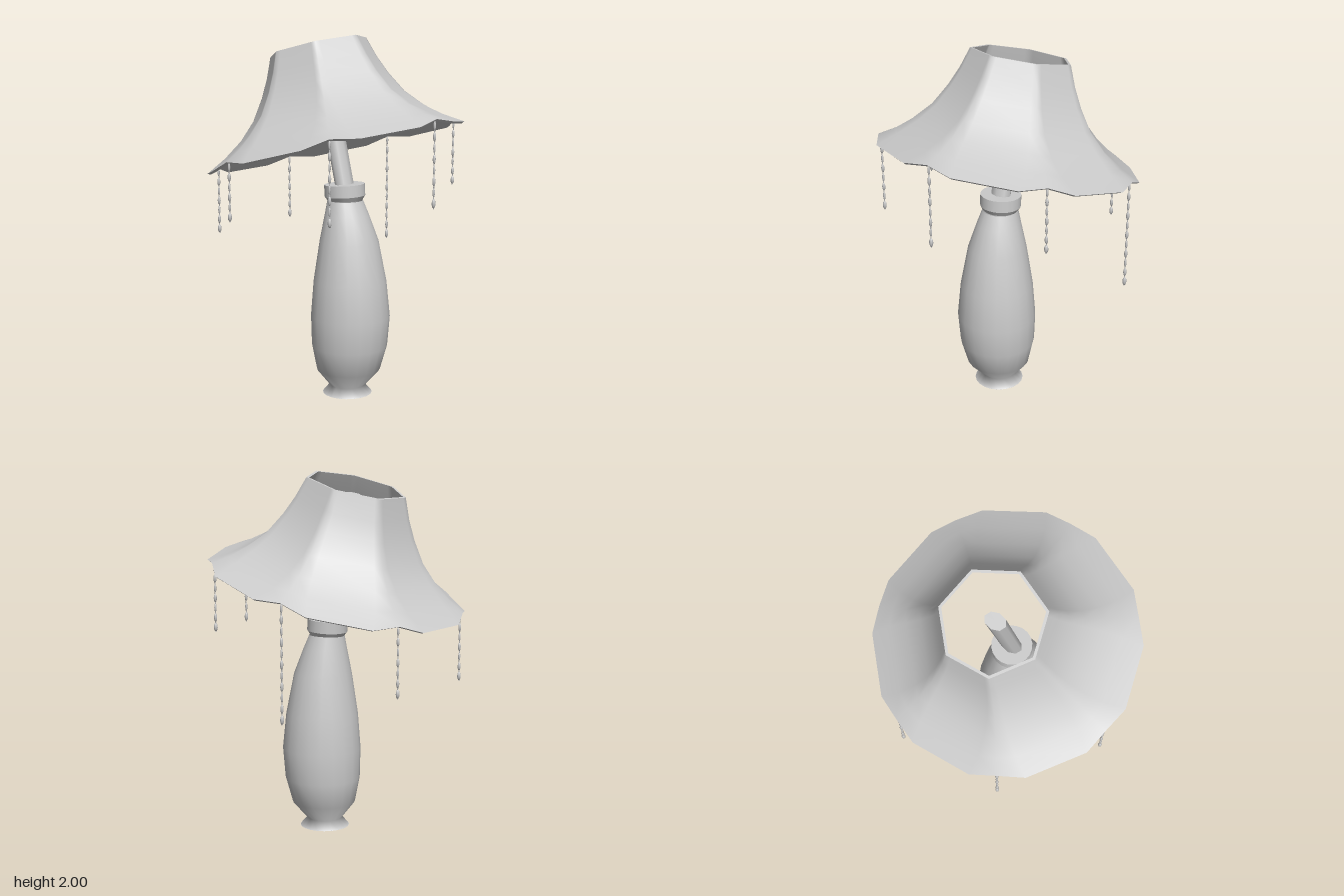
import * as THREE from 'three';

const mat = new THREE.MeshStandardMaterial({ color: 0xcccccc, side: THREE.DoubleSide });
const TILT = THREE.MathUtils.degToRad(15);
const RIBS = 7;

function addMesh(parent, name, geometry) {
  const mesh = new THREE.Mesh(geometry, mat);
  mesh.name = name;
  parent.add(mesh);
  return mesh;
}

// Shade rows from top to rim: rib radius, panel apothem, height, panel edge angle, rib lift
const ROWS = [
  [0.277, 0.25, 0, 5, 0],
  [0.318, 0.288, -0.11, 5, 0],
  [0.367, 0.331, -0.21, 5, 0],
  [0.44, 0.397, -0.325, 5.5, 0],
  [0.535, 0.487, -0.42, 7, 0],
  [0.62, 0.59, -0.497, 9, 0.012],
  [0.705, 0.70, -0.56, 12, 0.027],
];

// Maps a point of the upright shade to the tilted, slightly sheared one
function tilted(r, angle, v) {
  const u = r * Math.cos(angle) + 0.036 * v;
  return new THREE.Vector3(
    -0.13 + u * Math.cos(TILT) - v * Math.sin(TILT),
    1.928 + u * Math.sin(TILT) + v * Math.cos(TILT),
    r * Math.sin(angle));
}

// One ring of the shade: rib, panel edge, panel edge for each of the seven sides
function shadeRing([ribR, apothem, v, edgeDeg, lift], inset) {
  const ring = [];
  const step = (Math.PI * 2) / RIBS;
  const edge = THREE.MathUtils.degToRad(edgeDeg);
  const panelR = apothem / Math.cos(step / 2 - edge) - inset;
  const drop = inset * -v;
  for (let k = 0; k < RIBS; k++) {
    ring.push(tilted(ribR - inset, k * step, v + lift - drop));
    ring.push(tilted(panelR, k * step + edge, v - drop));
    ring.push(tilted(panelR, (k + 1) * step - edge, v - drop));
  }
  return ring;
}

// Smooth closed surface through a list of rings
function skin(rings) {
  const n = rings[0].length;
  const index = [];
  for (let i = 0; i < rings.length - 1; i++) {
    for (let j = 0; j < n; j++) {
      const a = i * n + j, b = i * n + (j + 1) % n;
      index.push(a, b, a + n, b, b + n, a + n);
    }
  }
  const g = new THREE.BufferGeometry().setFromPoints(rings.flat());
  g.setIndex(index);
  g.computeVertexNormals();
  return g;
}

function buildShade() {
  const shade = new THREE.Group();
  shade.name = 'shade';
  const outer = ROWS.map((row) => shadeRing(row, 0));
  const inner = ROWS.map((row) => shadeRing(row, 0.015));
  const last = ROWS.length - 1;
  addMesh(shade, 'shadeOutside', skin(outer));
  addMesh(shade, 'shadeInside', skin([...inner].reverse()));
  addMesh(shade, 'shadeBottomEdge', skin([outer[last], inner[last]]));
  addMesh(shade, 'shadeTopEdge', skin([inner[0], outer[0]]));
  return shade;
}

// Bead string hanging from a rim point down to a given height
function buildBeadString(top, bottomY) {
  const string = new THREE.Group();
  string.name = 'beadString';
  const length = top.y - bottomY;
  const thread = addMesh(string, 'thread', new THREE.CylinderGeometry(0.003, 0.003, length, 5));
  thread.position.set(top.x, top.y - length / 2, top.z);
  const count = Math.round(length / 0.055);
  const pitch = length / count;
  const bead = new THREE.SphereGeometry(1, 6, 6);
  for (let i = 0; i < count; i++) {
    const m = addMesh(string, 'bead', bead);
    const r = i === count - 1 ? 0.011 : i % 2 ? 0.009 : 0.007;
    m.scale.set(r, pitch * 0.44, r);
    m.position.set(top.x, top.y - (i + 0.5) * pitch, top.z);
  }
  return string;
}

// Vase body: radius, height and sideways shift of its slightly bent axis
const BODY = [
  [0.138, 0, 0.083], [0.098, 0.045, 0.083], [0.178, 0.14, 0.09], [0.211, 0.28, 0.098],
  [0.22, 0.45, 0.104], [0.202, 0.65, 0.101], [0.162, 0.88, 0.094], [0.122, 1.02, 0.078],
  [0.098, 1.1, 0.066],
];

function bodyGeometry() {
  const g = new THREE.LatheGeometry(BODY.map(([r, y]) => new THREE.Vector2(r, y)), 20);
  const p = g.attributes.position;
  for (let i = 0; i < p.count; i++) {
    const row = BODY.find((b) => Math.abs(b[1] - p.getY(i)) < 1e-4);
    p.setX(i, p.getX(i) + row[2]);
  }
  g.computeVertexNormals();
  // Keep the lathe seam smooth
  const nrm = g.attributes.normal, m = BODY.length, end = p.count - m;
  for (let i = 0; i < m; i++) {
    const s = new THREE.Vector3().fromBufferAttribute(nrm, i)
      .add(new THREE.Vector3().fromBufferAttribute(nrm, end + i)).normalize();
    nrm.setXYZ(i, s.x, s.y, s.z);
    nrm.setXYZ(end + i, s.x, s.y, s.z);
  }
  return g;
}

export function createModel() {
  const lamp = new THREE.Group();
  lamp.name = 'tableLamp';

  // Base
  addMesh(lamp, 'body', bodyGeometry());
  const foot = addMesh(lamp, 'footBottom', new THREE.CircleGeometry(0.138, 20));
  foot.rotation.x = Math.PI / 2;
  foot.position.set(0.083, 0.001, 0);

  // Collar on the neck
  const collar = new THREE.Group();
  collar.name = 'collar';
  const band = addMesh(collar, 'collarBand', new THREE.CylinderGeometry(0.112, 0.112, 0.065, 20));
  band.position.y = 0.035;
  const taper = addMesh(collar, 'collarTaper', new THREE.CylinderGeometry(0.112, 0.095, 0.025, 20, 1, true));
  taper.position.y = -0.01;
  collar.position.set(0.064, 1.12, 0);
  collar.rotation.z = 0.06;
  lamp.add(collar);

  // Leaning pole, oval in section
  const low = new THREE.Vector3(0.068, 1.15, 0), high = new THREE.Vector3(-0.105, 1.88, 0);
  const poleGeo = new THREE.CylinderGeometry(0.06, 0.06, low.distanceTo(high), 8);
  poleGeo.scale(0.74, 1, 1);
  const pole = addMesh(lamp, 'pole', poleGeo);
  pole.position.copy(low).lerp(high, 0.5);
  pole.rotation.z = Math.atan2(low.x - high.x, high.y - low.y);

  lamp.add(buildShade());

  // Bead strings, one under each rib, going round from the right-hand tip
  const ends = [1.12, 1.07, 1.05, 0.87, 0.87, 0.74, 1.15];
  ends.forEach((y, k) => {
    const top = tilted(0.69, (k * Math.PI * 2) / RIBS, -0.535);
    lamp.add(buildBeadString(top, y));
  });

  return lamp;
}
